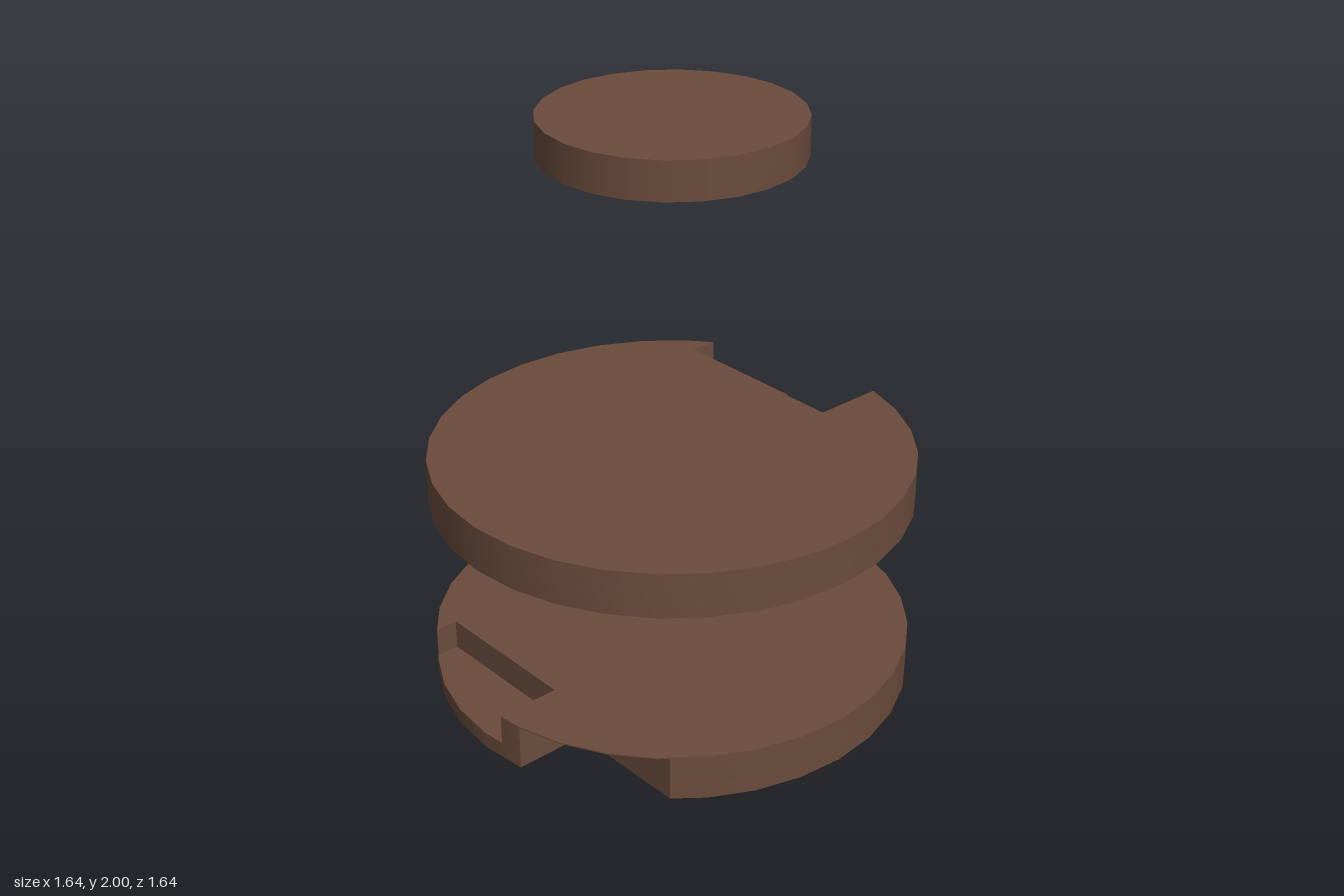
import * as THREE from 'three';
import { toCreasedNormals } from 'three/addons/utils/BufferGeometryUtils.js';

const R = 0.82;
const STEP = Math.PI / 16; // the large discs have 32 sides
const { PI, asin, acos, cos, sin } = Math;
const atZ = z => asin(z / R);
const atX = x => acos(x / R);

// Point on the 32-sided rim at an angle measured from +x towards +z
function rim(a) {
  const k = a - Math.floor(a / STEP) * STEP;
  const r = R * cos(STEP / 2) / cos(k - STEP / 2);
  return [r * cos(a), r * sin(a)];
}

// Rim points from a0 to a1, including the facet corners between
function arc(a0, a1) {
  const pts = [rim(a0)];
  for (let i = Math.ceil(a0 / STEP + 0.01); i * STEP < a1 - 0.002; i++) pts.push(rim(i * STEP));
  pts.push(rim(a1));
  return pts;
}

const material = new THREE.MeshStandardMaterial({ color: 0x6b4c3c });

// Extrudes an (x, z) outline from y0 up to y1
function slab(name, y0, y1, outline) {
  const shape = new THREE.Shape(outline.map(([x, z]) => new THREE.Vector2(x, -z)));
  const geo = new THREE.ExtrudeGeometry(shape, { depth: y1 - y0, bevelEnabled: false });
  geo.rotateX(-PI / 2).translate(0, y0, 0);
  const mesh = new THREE.Mesh(toCreasedNormals(geo, 0.4), material);
  mesh.name = name;
  return mesh;
}

export function createModel() {
  const model = new THREE.Group();
  model.name = 'steppedDiscs';

  // Lower disc: undercut at the front right, pocket in the top behind it
  const lower = new THREE.Group();
  lower.name = 'lowerDisc';
  const frontCut = 2 * PI + atX(-0.55);
  const pocketBack = PI + atZ(0.47);
  const pocket = [[-0.59, 0.08], [-0.59, -0.47]];
  lower.add(
    slab('pocketFloor', 0, 0.055, [...arc(PI - atZ(0.165), frontCut), [-0.55, 0.165]]),
    slab('pocketWalls', 0.055, 0.155, [
      ...arc(pocketBack, frontCut), [-0.55, 0.165],
      ...arc(PI - atZ(0.165), PI - atZ(0.08)), ...pocket]),
    slab('lowerTopSkin', 0.155, 0.16, [...arc(pocketBack, 3 * PI - atZ(0.08)), ...pocket]),
  );

  // Middle disc: notch through the left rim and a shallow step in the top
  const middle = new THREE.Group();
  middle.name = 'middleDisc';
  const notchBack = 2 * PI - atZ(0.5);
  middle.add(
    slab('notchedBody', 0.68, 0.832, [...arc(atZ(0.165), notchBack), [0.55, -0.5], [0.55, 0.165]]),
    slab('steppedTopSkin', 0.832, 0.836, [
      ...arc(atX(0.51), notchBack), [0.55, -0.5], [0.55, -0.01], [0.51, -0.01]]),
  );

  // Small plain disc on top
  const upper = new THREE.Mesh(new THREE.CylinderGeometry(0.43, 0.43, 0.13, 24), material);
  upper.name = 'upperDisc';
  upper.position.y = 1.935;

  model.add(lower, middle, upper);
  return model;
}
